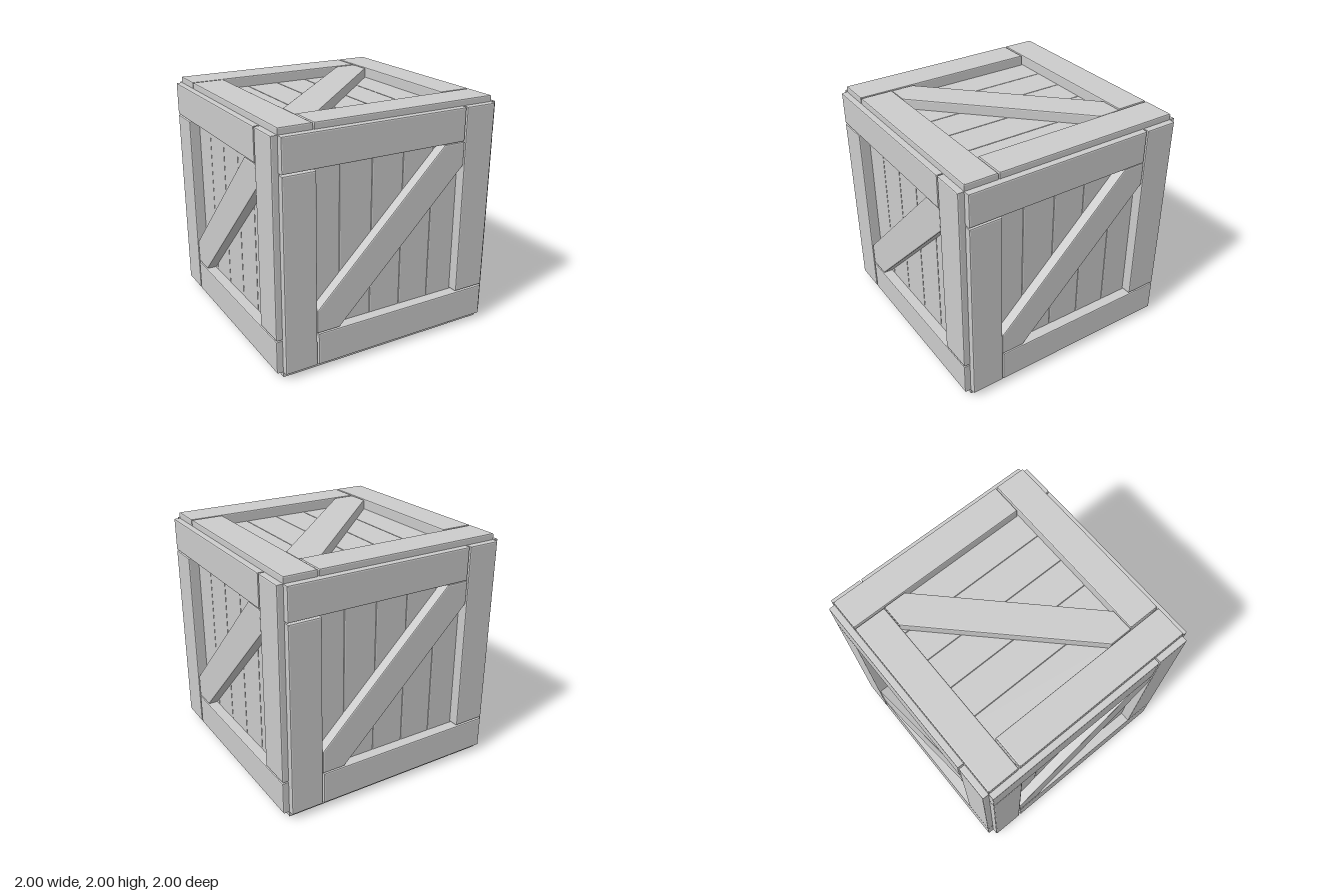
import * as THREE from 'three';

const BEVEL = 0.01;
const material = new THREE.MeshStandardMaterial({ color: 0xcccccc, flatShading: true });

// Bevelled slab: outline in the face plane, lying between two depths along the normal
function slab(name, points, back, front) {
  const shape = new THREE.Shape(points.map(([x, y]) => new THREE.Vector2(x, y)));
  const geometry = new THREE.ExtrudeGeometry(shape, {
    depth: front - back - 2 * BEVEL,
    bevelThickness: BEVEL,
    bevelSize: BEVEL,
    bevelOffset: -BEVEL,
    bevelSegments: 2,
  });
  geometry.translate(0, 0, back + BEVEL);
  const mesh = new THREE.Mesh(geometry, material);
  mesh.name = name;
  return mesh;
}

const rect = (x0, y0, x1, y1) => [[x0, y0], [x1, y0], [x1, y1], [x0, y1]];

function createPanel(name) {
  const panel = new THREE.Group();
  panel.name = name;

  // Recessed planks
  const pitch = 0.285;
  for (let i = -2; i <= 2; i++) {
    const x = i * pitch;
    panel.add(slab('plank', rect(x - pitch / 2, -0.85, x + pitch / 2, 0.85), 0.84, 0.91));
  }

  // Frame boards, each butting against the next in a pinwheel
  ['topBoard', 'leftBoard', 'bottomBoard', 'rightBoard'].forEach((boardName, i) => {
    const board = slab(boardName, rect(-0.947, 0.672, 0.66, 0.947), 0.9, 1);
    board.rotation.z = (i * Math.PI) / 2;
    panel.add(board);
  });

  // Diagonal brace with ends cut to the frame
  const a = 0.667, b = 0.472;
  panel.add(slab('diagonalBrace',
    [[-a, -a], [-b, -a], [a, b], [a, a], [b, a], [-a, -b]], 0.9, 0.995));
  return panel;
}

export function createModel() {
  const crate = new THREE.Group();
  crate.name = 'crate';
  const quarter = Math.PI / 2;
  const sides = [
    ['frontPanel', 0, 0],
    ['leftPanel', 0, quarter],
    ['backPanel', 0, 2 * quarter],
    ['rightPanel', 0, -quarter],
    ['topPanel', -quarter, 0],
    ['bottomPanel', quarter, 0],
  ];
  for (const [name, rx, ry] of sides) {
    const panel = createPanel(name);
    panel.rotation.set(rx, ry, 0);
    panel.position.y = 1;
    crate.add(panel);
  }
  return crate;
}
